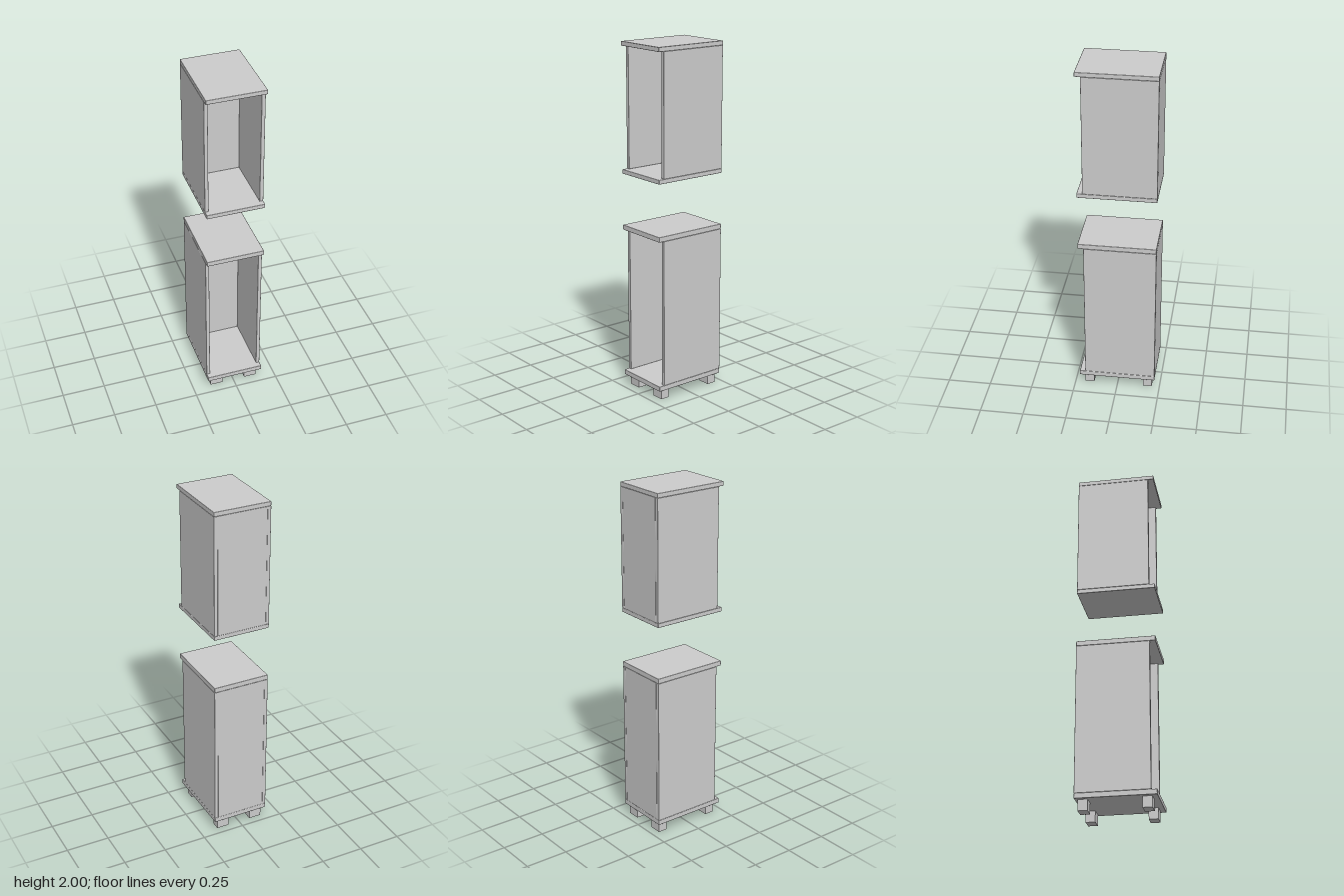
import * as THREE from 'three';
import { RoundedBoxGeometry } from 'three/addons/geometries/RoundedBoxGeometry.js';

const material = new THREE.MeshStandardMaterial({ color: 0xcccccc });
const W = 0.166;      // half width
const D = 0.2215;     // half depth
const SIDE = 0.021;   // side panel thickness
const FRONT = 0.189;  // front edge of the side panels
const BACK = -0.155;  // inner face of the back panel

// Panel given by its limits, with slightly eased edges
function panel(name, [x0, x1], [y0, y1], [z0, z1], ease = 0.003) {
  const geometry = new RoundedBoxGeometry(x1 - x0, y1 - y0, z1 - z0, 2, ease);
  const mesh = new THREE.Mesh(geometry, material);
  mesh.position.set((x0 + x1) / 2, (y0 + y1) / 2, (z0 + z1) / 2);
  mesh.name = name;
  return mesh;
}

// Open-fronted cabinet whose top and bottom overhang the sides at the front
function cabinet(name, bottom, top, thickness) {
  const group = new THREE.Group();
  group.name = name;
  const inner = [bottom + thickness, top - thickness];
  group.add(
    panel('bottomPanel', [-W, W], [bottom, inner[0]], [-D, D]),
    panel('topPanel', [-W, W], [inner[1], top], [-D, D]),
    panel('leftSide', [W - SIDE, W], inner, [-D, FRONT], 0.002),
    panel('rightSide', [-W, -W + SIDE], inner, [-D, FRONT], 0.002),
    panel('backPanel', [-W + SIDE, W - SIDE], inner, [-D, BACK], 0.001)
  );
  return group;
}

export function createModel() {
  const model = new THREE.Group();
  model.name = 'cabinetSet';

  const lower = cabinet('lowerCabinet', 0.061, 0.967, 0.029);
  const upper = cabinet('upperCabinet', 1.263, 2, 0.025);

  // Four block feet under the lower cabinet
  const foot = new THREE.BoxGeometry(0.074, 0.061, 0.053);
  for (const [side, x] of [['Left', 0.106], ['Right', -0.106]]) {
    for (const [end, z] of [['front', 0.1655], ['back', -0.178]]) {
      const mesh = new THREE.Mesh(foot, material);
      mesh.position.set(x, 0.0305, z);
      mesh.name = `${end}${side}Foot`;
      lower.add(mesh);
    }
  }

  model.add(lower, upper);
  return model;
}
